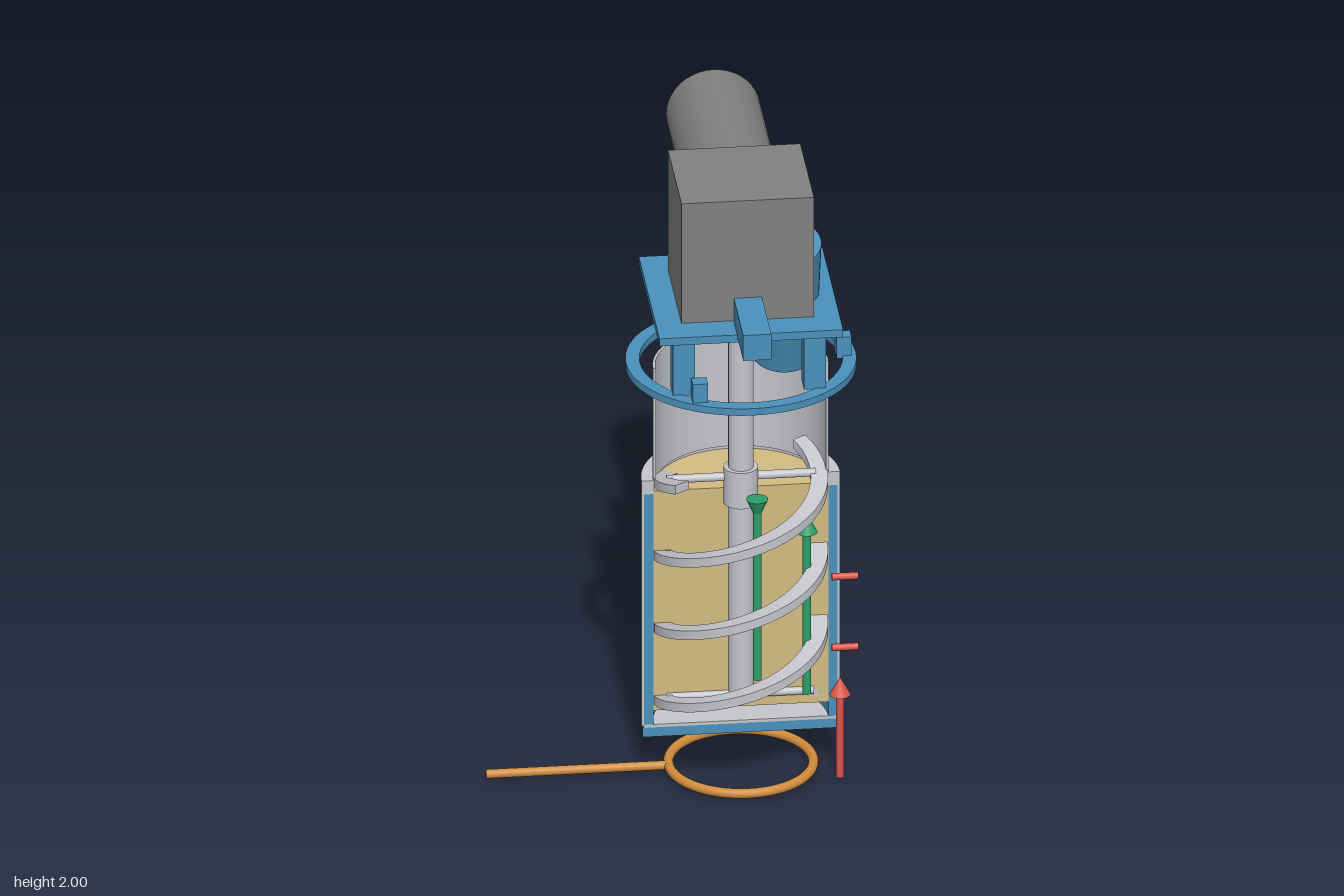
import * as THREE from 'three';
import { toCreasedNormals } from 'three/addons/utils/BufferGeometryUtils.js';

const mat = (name, color, extra = {}) => {
  const m = new THREE.MeshStandardMaterial({ color, ...extra });
  m.name = name;
  return m;
};

export function createModel() {
  const blue = mat('frame blue', 0x4a90ba);
  const grey = mat('motor grey', 0x808080);
  const steel = mat('light steel', 0xc4c6cc);
  const tan = mat('filling tan', 0xd2bb80);
  const green = mat('arrow green', 0x2e9e6b);
  const red = mat('arrow red', 0xd9564c);
  const orange = mat('handle orange', 0xd08c3c);

  const model = new THREE.Group();
  const CX = 0.21, CZ = 0.15; // vertical machine axis

  const add = (name, geo, material, x = 0, y = 0, z = 0) => {
    const m = new THREE.Mesh(geo, material);
    m.name = name;
    m.position.set(x, y, z);
    model.add(m);
    return m;
  };
  // box given by its limits
  const box = (name, material, x0, x1, y0, y1, z0, z1) =>
    add(name, new THREE.BoxGeometry(x1 - x0, y1 - y0, z1 - z0), material,
      (x0 + x1) / 2, (y0 + y1) / 2, (z0 + z1) / 2);
  // upright cylinder or cone
  const rod = (name, material, rTop, rBottom, x, y0, y1, z) =>
    add(name, new THREE.CylinderGeometry(rTop, rBottom, y1 - y0, 32), material, x, (y0 + y1) / 2, z);
  const rodX = (name, material, r, x0, x1, y, z) => {
    const m = add(name, new THREE.CylinderGeometry(r, r, x1 - x0, 20), material, (x0 + x1) / 2, y, z);
    m.rotation.z = Math.PI / 2;
    return m;
  };
  // extruded upwards around the machine axis
  const raise = (name, material, shape, y0, y1) => {
    const g = new THREE.ExtrudeGeometry(shape, { depth: y1 - y0, bevelEnabled: false, curveSegments: 40 });
    g.rotateX(-Math.PI / 2);
    return add(name, toCreasedNormals(g, 0.6), material, CX, y0, CZ);
  };
  // rear half of a tube, or of a solid disc when ri is 0
  const half = (name, material, ro, ri, y0, y1) => {
    const s = new THREE.Shape();
    s.absarc(0, 0, ro, 0, Math.PI, false);
    if (ri > 0) s.absarc(0, 0, ri, Math.PI, 0, true);
    s.closePath();
    return raise(name, material, s, y0, y1);
  };

  // gearbox and motor
  box('gearbox', grey, 0.01, 0.41, 1.6, 2, -0.03, 0.335);
  const motor = add('motor', new THREE.CylinderGeometry(0.143, 0.143, 0.56, 40), grey, CX, 1.84, -0.31);
  motor.rotation.x = Math.PI / 2;

  // top plate, cross bar and rear column
  box('topPlate', blue, -0.067, 0.488, 1.573, 1.598, -0.13, 0.428);
  box('crossBar', blue, 0.168, 0.253, 1.59, 1.675, -0.28, 0.588);
  box('rearColumn', blue, 0.168, 0.253, 0.21, 1.59, -0.28, -0.197);

  // flange ring with posts and locking blocks
  const ring = new THREE.Shape().absarc(0, 0, 0.347, 0, Math.PI * 2, false);
  ring.holes.push(new THREE.Path().absarc(0, 0, 0.305, 0, Math.PI * 2, true));
  raise('flangeRing', blue, ring, 1.36, 1.383);
  for (const sx of [-1, 1]) for (const sz of [-1, 1]) {
    const x = CX + sx * 0.198, z = CZ + sz * 0.198;
    box('post', blue, x - 0.033, x + 0.033, 1.38, 1.575, z - 0.033, z + 0.033);
  }
  for (let i = 0; i < 3; i++) {
    const a = i * Math.PI * 2 / 3;
    const x = CX + 0.309 * Math.cos(a), z = CZ + 0.309 * Math.sin(a);
    box('lockingBlock', blue, x - 0.023, x + 0.023, 1.375, 1.445, z - 0.023, z + 0.023);
  }

  // tilted feed chute
  const chute = add('feedChute', new THREE.CylinderGeometry(0.1, 0.1, 0.446, 40), blue, 0.345, 1.583, 0.152);
  chute.rotation.x = Math.atan2(0.135, 0.425);

  // cut-away vessel
  half('upperTube', steel, 0.265, 0.257, 0.96, 1.36);
  half('outerShell', steel, 0.3, 0.292, 0.165, 0.985);
  half('shellRim', steel, 0.293, 0.262, 0.94, 0.985);
  half('jacket', blue, 0.292, 0.264, 0.165, 0.94);
  half('floorSheet', steel, 0.292, 0, 0.158, 0.168);
  half('basePlate', blue, 0.297, 0, 0.127, 0.16);
  half('filling', tan, 0.264, 0, 0.215, 0.95);

  // stirrer shaft, hub and arms
  rod('shaft', steel, 0.038, 0.038, CX, 0.245, 1.6, CZ);
  rod('hub', steel, 0.052, 0.052, CX, 0.9, 1.02, CZ);
  rodX('lowerArm', steel, 0.013, CX - 0.225, CX + 0.22, 0.258, CZ);
  rodX('upperArm', steel, 0.013, CX - 0.225, CX + 0.225, 0.987, CZ);

  // two helical ribbons, rectangular in section
  const ribbon = (phase) => {
    const section = [[0.21, -0.015], [0.262, -0.015], [0.262, 0.015], [0.21, 0.015]];
    const pos = [], idx = [], n = 110, total = THREE.MathUtils.degToRad(575);
    for (let i = 0; i <= n; i++) {
      const t = total * i / n, a = phase - t, y = 0.25 + 0.485 * t / (2 * Math.PI);
      for (const [r, h] of section) pos.push(r * Math.cos(a), y + h, r * Math.sin(a));
    }
    for (let i = 0; i < n; i++) for (let j = 0; j < 4; j++) {
      const a = i * 4 + j, b = i * 4 + (j + 1) % 4;
      idx.push(a, b + 4, b, a, a + 4, b + 4);
    }
    const e = n * 4;
    idx.push(0, 1, 2, 0, 2, 3, e, e + 2, e + 1, e, e + 3, e + 2);
    const g = new THREE.BufferGeometry();
    g.setAttribute('position', new THREE.Float32BufferAttribute(pos, 3));
    g.setIndex(idx);
    add('helicalRibbon', toCreasedNormals(g, 0.6), steel, CX, 0, CZ);
  };
  ribbon(Math.PI);
  ribbon(0);

  // flow arrows
  const AZ = 0.234;
  rod('downArrowStem', green, 0.013, 0.013, 0.25, 0.345, 0.93, AZ);
  rod('downArrowHead', green, 0.033, 0.012, 0.25, 0.9, 0.948, AZ);
  rod('upArrowStem', green, 0.013, 0.013, 0.4, 0.29, 0.84, AZ);
  rod('upArrowHead', green, 0, 0.032, 0.4, 0.83, 0.89, AZ);
  rod('inletArrowStem', red, 0.012, 0.012, 0.5, 0.005, 0.29, AZ);
  rod('inletArrowHead', red, 0, 0.032, 0.5, 0.28, 0.338, AZ);
  for (const y of [0.438, 0.675]) rodX('sensorPin', red, 0.011, 0.475, 0.555, y, AZ);

  // ring with handle beneath the vessel
  const loop = add('handleRing', new THREE.TorusGeometry(0.218, 0.015, 16, 64), orange, CX, 0.03, CZ);
  loop.rotation.x = Math.PI / 2;
  rodX('handle', orange, 0.014, -0.56, -0.005, 0.03, CZ);

  return model;
}
